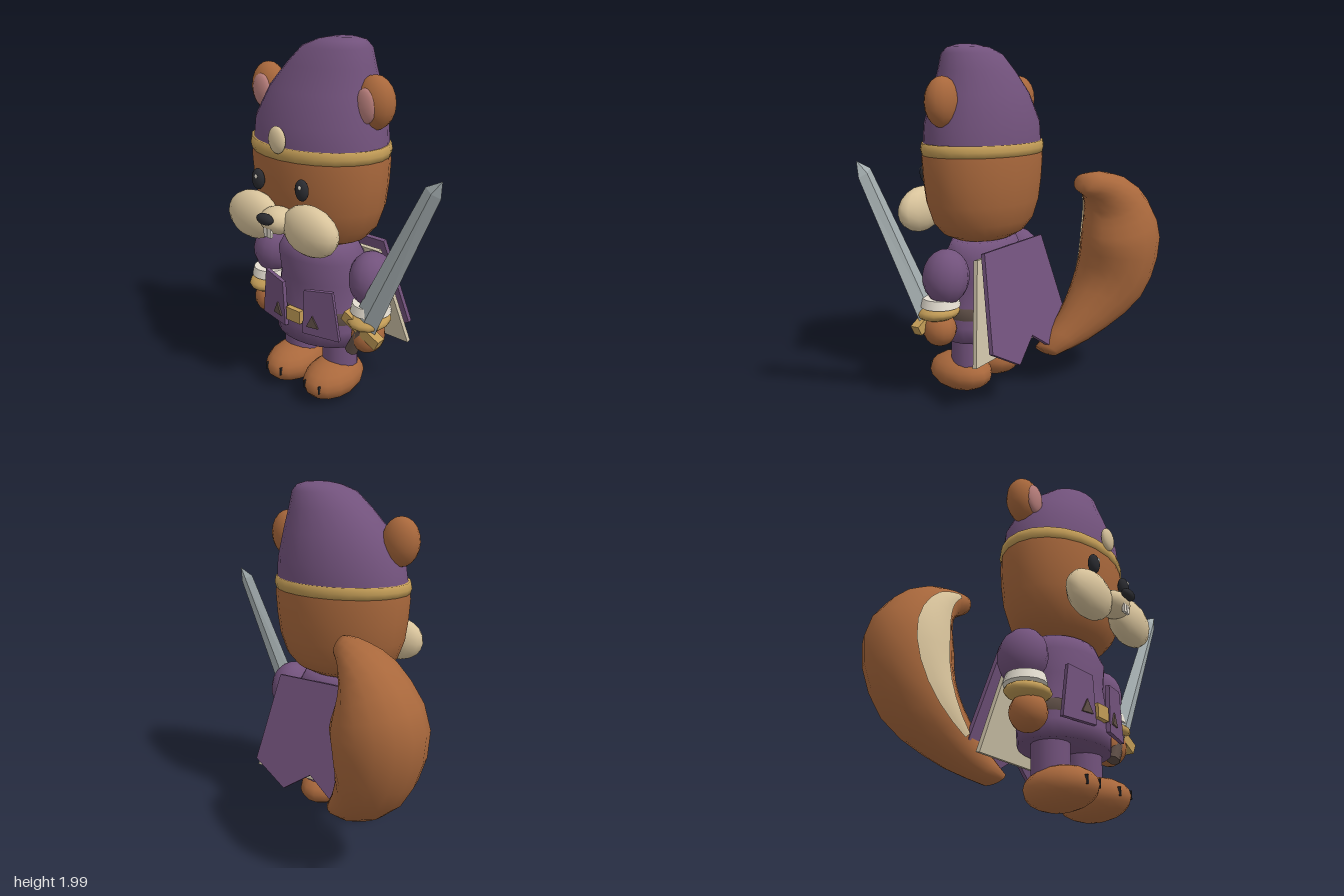
import * as THREE from 'three';

const mat = (name, color, side = THREE.FrontSide) => {
  const m = new THREE.MeshStandardMaterial({ color, side });
  m.name = name;
  return m;
};

export function createModel() {
  const model = new THREE.Group();
  model.name = 'squirrelKnight';
  const fur = mat('fur', 0xa9683c), purple = mat('purpleCloth', 0x72527c);
  const gold = mat('gold', 0xc19b56), cream = mat('cream', 0xd9c49c, THREE.DoubleSide);
  const pink = mat('innerEar', 0xb97f7c), black = mat('black', 0x2a2b30);
  const white = mat('white', 0xe6dfd2), steel = mat('steel', 0xaab4b6);
  const leather = mat('leather', 0x5e4e46), lining = mat('lining', 0xcbc0a6);
  const CX = -0.012; // body axis

  const add = (name, geo, material, x = 0, y = 0, z = 0, parent = model) => {
    const m = new THREE.Mesh(geo, material);
    m.name = name;
    m.position.set(x, y, z);
    parent.add(m);
    return m;
  };
  const ball = (name, material, p, r, ws = 14, hs = 10) => {
    const m = add(name, new THREE.SphereGeometry(1, ws, hs), material, ...p);
    m.scale.set(...r);
    return m;
  };
  const box = (name, material, s, p, parent) => add(name, new THREE.BoxGeometry(...s), material, ...p, parent);
  const lathe = (name, material, pts, squash) => {
    const m = add(name, new THREE.LatheGeometry(pts.map(p => new THREE.Vector2(...p)), 24), material, CX, 0, 0.19);
    m.scale.z = squash;
    return m;
  };
  const slab = (name, material, pts, depth, x, y, z, parent) => {
    const shape = new THREE.Shape(pts.map(p => new THREE.Vector2(...p)));
    const geo = new THREE.ExtrudeGeometry(shape, { depth, bevelEnabled: false });
    return add(name, geo, material, x, y, z, parent);
  };
  // surface from rows (going up) and columns (going round); closed shares the seam
  const grid = (rows, cols, closed, fn) => {
    const pos = [], idx = [], n = closed ? cols : cols + 1;
    for (let i = 0; i <= rows; i++) for (let j = 0; j < n; j++) pos.push(...fn(i, j / cols));
    for (let i = 0; i < rows; i++) for (let j = 0; j < cols; j++) {
      const a = i * n + j, b = i * n + (j + 1) % n;
      idx.push(a, b, a + n, b, b + n, a + n);
    }
    const g = new THREE.BufferGeometry();
    g.setAttribute('position', new THREE.Float32BufferAttribute(pos, 3));
    g.setIndex(idx);
    g.computeVertexNormals();
    return g;
  };

  // head
  lathe('head', fur, [[0, 0.92], [0.2, 0.925], [0.28, 0.96], [0.345, 1.03], [0.385, 1.14], [0.402, 1.26], [0.41, 1.38], [0.4, 1.46]], 0.75);

  // leaning cap: centre x, y, centre z, radius x, radius z
  const cap = [
    [-0.01, 1.44, 0.19, 0.4, 0.3], [-0.005, 1.58, 0.187, 0.383, 0.295], [0.02, 1.74, 0.18, 0.32, 0.245],
    [0.06, 1.86, 0.178, 0.25, 0.195], [0.102, 1.95, 0.18, 0.192, 0.155], [0.135, 1.985, 0.18, 0.13, 0.11],
    [0.15, 2, 0.18, 0.06, 0.05], [0.15, 2, 0.18, 0, 0],
  ];
  add('cap', grid(cap.length - 1, 24, true, (i, v) => {
    const [x, y, z, rx, rz] = cap[i], t = v * Math.PI * 2;
    return [x + rx * Math.sin(t), y, z + rz * Math.cos(t)];
  }), purple);
  lathe('capBand', gold, [[0.385, 1.41], [0.408, 1.41], [0.416, 1.44], [0.408, 1.475], [0.385, 1.475]], 0.752);
  ball('capGem', cream, [-0.015, 1.515, 0.505], [0.055, 0.07, 0.026]);

  // face
  ball('muzzle', cream, [CX, 1.1, 0.52], [0.1, 0.072, 0.085]);
  ball('nose', black, [CX, 1.13, 0.61], [0.055, 0.03, 0.028]);

  // mirrored parts of head and limbs
  for (const s of [-1, 1]) {
    const X = d => CX + s * d;
    const side = s > 0 ? 'left' : 'right';
    ball(side + 'Ear', fur, [X(0.365), 1.7, 0.19], [0.108, 0.135, 0.087]);
    ball(side + 'InnerEar', pink, [X(0.355), 1.69, 0.258], [0.062, 0.088, 0.03]);
    ball(side + 'Eye', black, [X(0.153), 1.285, 0.5], [0.04, 0.056, 0.028]);
    ball(side + 'EyeGlint', white, [X(0.153) + 0.01, 1.305, 0.525], [0.009, 0.012, 0.005], 8, 6);
    const cheek = ball(side + 'Cheek', cream, [X(0.2), 1.08, 0.495], [0.178, 0.132, 0.088]);
    cheek.rotation.z = -s * 0.08;
    box(side + 'Tooth', white, [0.023, 0.065, 0.015], [X(0.014), 1.06, 0.59]);

    // arm
    const arm = ball(side + 'Sleeve', purple, [X(0.36), 0.755, 0.19], [0.122, 0.155, 0.135]);
    arm.rotation.z = s * 0.15;
    add(side + 'Cuff', new THREE.CylinderGeometry(0.1, 0.112, 0.05, 16), white, X(0.375), 0.615, 0.22);
    const bracer = ball(side + 'Bracer', gold, [X(0.375), 0.55, 0.235], [0.118, 0.048, 0.122]);
    bracer.rotation.x = 0.1;
    ball(side + 'Hand', fur, [X(0.37), 0.45, 0.235], [0.09, 0.1, 0.1]);

    // leg and foot
    add(side + 'Leg', new THREE.CylinderGeometry(0.1, 0.1, 0.24, 16), purple, X(0.147), 0.28, 0.205);
    ball(side + 'Foot', fur, [X(0.147), 0.12, 0.262], [0.147, 0.112, 0.205]);
    for (const t of [-1, 1]) box(side + 'ToeLine', black, [0.007, 0.045, 0.02], [X(0.147) + t * 0.053, 0.13, 0.443]);

    // tunic flap with a small triangle stud
    const flap = new THREE.Group();
    flap.name = side + 'TunicFlap';
    flap.position.set(X(0.06), 0, 0.405);
    flap.rotation.y = s * 0.22;
    model.add(flap);
    const outline = [[0, 0.43], [s * 0.225, 0.43], [s * 0.185, 0.71], [s * 0.015, 0.69]];
    slab(side + 'Flap', purple, outline, 0.022, 0, 0, 0, flap);
    slab(side + 'Stud', leather, [[-0.037, 0.48], [0.037, 0.48], [0, 0.55]], 0.009, s * 0.065, 0, 0.022, flap);
  }

  // tunic, belt and buckle
  lathe('tunic', purple, [[0, 0.35], [0.29, 0.35], [0.298, 0.44], [0.275, 0.56], [0.255, 0.7], [0.27, 0.83], [0.22, 0.92], [0, 0.93]], 0.74);
  lathe('belt', leather, [[0.27, 0.485], [0.292, 0.485], [0.282, 0.55], [0.26, 0.55]], 0.75);
  box('buckle', gold, [0.1, 0.075, 0.03], [CX, 0.515, 0.415]);

  // cloak and its lining, both sloping backwards
  slab('cloak', purple, [[-0.29, 0], [-0.39, -0.53], [-0.17, -0.66], [0, -0.54], [0.17, -0.66], [0.39, -0.53], [0.29, 0]],
    0.025, CX, 0.9, -0.022).rotation.x = 0.235;
  slab('cloakLining', lining, [[-0.28, 0], [-0.405, -0.56], [0.425, -0.56], [0.28, 0]], 0.025, 0, 0.855, 0.025).rotation.x = 0.17;

  // tail: spine points and the two radii at each
  const spine = new THREE.CatmullRomCurve3([
    [-0.18, 0.225, -0.14], [-0.36, 0.37, -0.26], [-0.54, 0.6, -0.365], [-0.59, 0.88, -0.405],
    [-0.52, 1.1, -0.39], [-0.41, 1.2, -0.355], [-0.3, 1.235, -0.3],
  ].map(p => new THREE.Vector3(...p)));
  const girth = new THREE.CatmullRomCurve3([
    [0.05, 0.075], [0.125, 0.145], [0.205, 0.225], [0.25, 0.235], [0.175, 0.185], [0.1, 0.125], [0.055, 0.06],
  ].map(p => new THREE.Vector3(p[0], p[1], 0)));
  const tailPoint = (u, a, grow, scale = 1) => {
    const c = spine.getPoint(u), t = spine.getTangent(u), r = girth.getPoint(u);
    const len = Math.hypot(t.x, t.y);
    const across = (r.x + grow) * Math.cos(a) * scale, out = (r.y + grow) * Math.sin(a) * scale;
    return [c.x - t.y / len * across, c.y + t.x / len * across, c.z + out];
  };
  const ROWS = 16;
  add('tail', grid(ROWS + 2, 16, true, (i, v) =>
    tailPoint(THREE.MathUtils.clamp((i - 1) / ROWS, 0, 1), v * Math.PI * 2, 0, i === 0 || i === ROWS + 2 ? 0 : 1)), fur);
  add('tailStripe', grid(12, 4, false, (i, v) => {
    const k = i / 12, w = 0.12 + 0.3 * Math.sin(k * Math.PI);
    return tailPoint(0.2 + 0.66 * k, 1.4 + (v - 0.5) * 2 * w, 0.012);
  }), cream);

  // sword, built upright and then tilted
  const sword = new THREE.Group();
  sword.name = 'sword';
  sword.position.set(0.37, 0.515, 0.3);
  sword.rotation.set(0.035, 0, -0.46);
  model.add(sword);
  const blade = grid(2, 4, true, (i, v) => {
    const [y, w, d, x] = [[0, 0.078, 0.022, 0], [0.95, 0.047, 0.018, 0], [1.03, 0, 0, 0.015]][i];
    const a = v * Math.PI * 2;
    return [x - w * Math.cos(a), y, d * Math.sin(a)];
  }).toNonIndexed();
  blade.computeVertexNormals();
  add('blade', blade, steel, 0, 0, 0, sword);
  box('guard', gold, [0.25, 0.06, 0.055], [0, 0, 0], sword);
  add('grip', new THREE.CylinderGeometry(0.032, 0.038, 0.17, 8), leather, 0, -0.09, 0, sword);

  return model;
}
